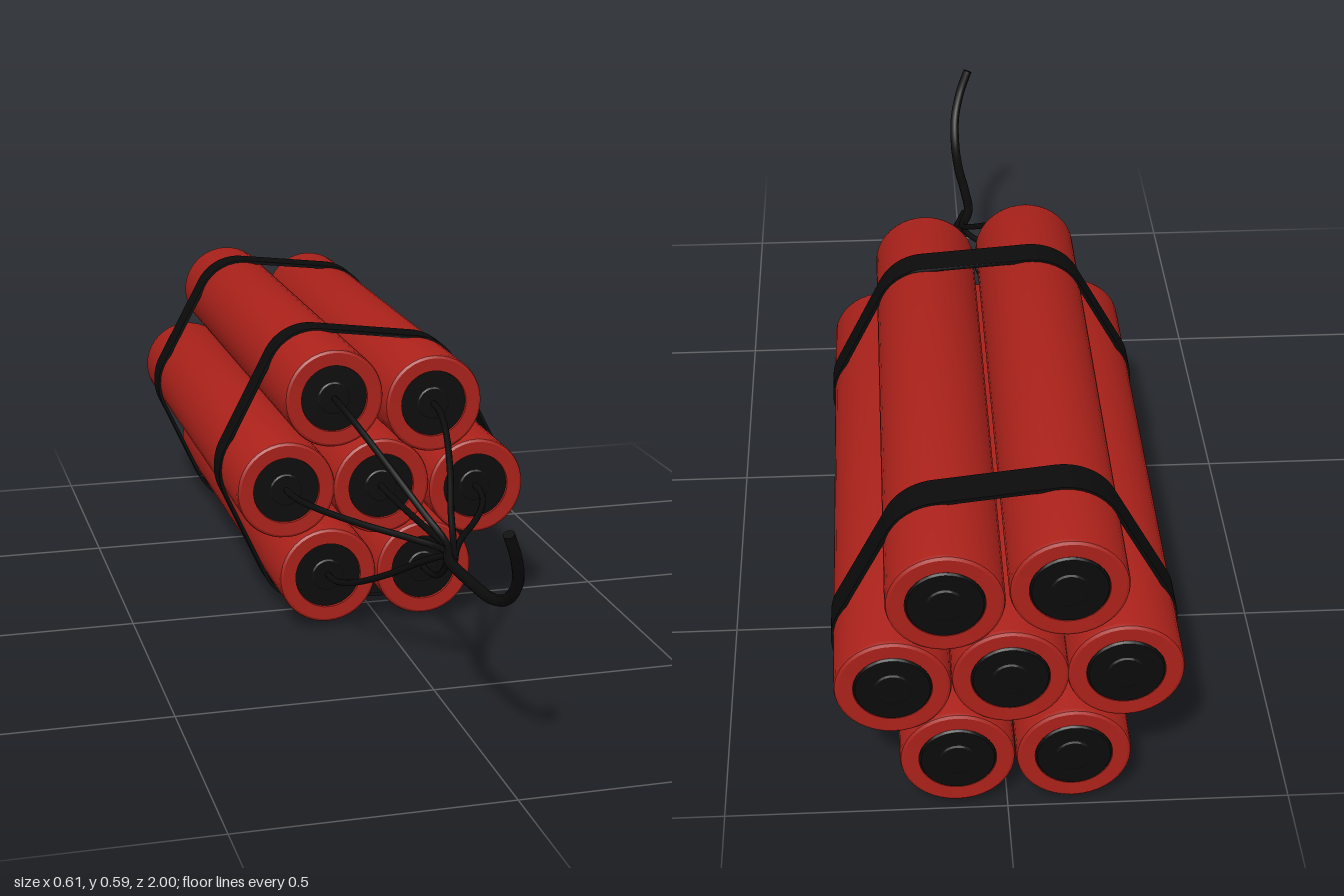
import * as THREE from 'three';
import { toCreasedNormals } from 'three/addons/utils/BufferGeometryUtils.js';

const red = new THREE.MeshStandardMaterial({ color: 0xaa211a });
const black = new THREE.MeshStandardMaterial({ color: 0x0b0b0b });

// Stick axes in the x/y plane
const CENTRES = [
  [-0.1, 0.487], [0.107, 0.463], [-0.2, 0.303], [-0.003, 0.297],
  [0.198, 0.282], [-0.115, 0.115], [0.088, 0.115],
];
const RADIUS = 0.101, FRONT = 0.128, BACK = -0.996;

function part(parent, name, geometry, material) {
  const mesh = new THREE.Mesh(geometry, material);
  mesh.name = name;
  parent.add(mesh);
  return mesh;
}

// Lathe around the z axis from [radius, z] pairs
function latheZ(pairs) {
  const g = new THREE.LatheGeometry(pairs.map(([r, z]) => new THREE.Vector2(r, z)), 40);
  return toCreasedNormals(g.rotateX(Math.PI / 2), 0.5);
}

// Outline stretched round all the sticks, found from the farthest stick in each direction
function hullPoints(offset) {
  const points = [];
  for (let i = 0; i < 120; i++) {
    const a = (i / 120) * Math.PI * 2, c = Math.cos(a), s = Math.sin(a);
    const [x, y] = CENTRES.reduce((b, p) => (p[0] * c + p[1] * s > b[0] * c + b[1] * s ? p : b));
    const sag = 0.009 * Math.max(0, -s); // slightly slack underneath
    const r = RADIUS + offset + sag;
    points.push(new THREE.Vector2(x + c * r, y + s * r));
  }
  return points;
}

function bandGeometry(zCentre, width, wobble) {
  const shape = new THREE.Shape(hullPoints(0.004));
  shape.holes.push(new THREE.Path(hullPoints(-0.003)));
  const g = new THREE.ExtrudeGeometry(shape, { depth: width, bevelEnabled: false });
  g.translate(0, 0, zCentre - width / 2);
  // Hand-wrapped unevenness
  const p = g.attributes.position;
  for (let i = 0; i < p.count; i++) {
    const x = p.getX(i), y = p.getY(i);
    p.setZ(i, p.getZ(i) + wobble * (Math.cos(x * 11 - 1.6) - 0.4 + (0.3 - y) * 0.8));
  }
  return toCreasedNormals(g, 0.6);
}

function cord(parent, name, points, radius, segments) {
  const curve = new THREE.CatmullRomCurve3(points.map((p) => new THREE.Vector3(...p)));
  part(parent, name, new THREE.TubeGeometry(curve, segments, radius, 10), black);
  // Closed far end
  const end = part(parent, name + 'End', new THREE.CircleGeometry(radius, 10), black);
  end.position.copy(curve.getPoint(1));
  end.quaternion.setFromUnitVectors(new THREE.Vector3(0, 0, 1), curve.getTangent(1));
}

export function createModel() {
  const model = new THREE.Group();
  model.name = 'stickBundle';

  // Paper tubes with softened rims and shallow recessed ends
  const tube = latheZ([
    [0.067, BACK + 0.008], [0.068, BACK + 0.001], [0.094, BACK], [0.099, BACK + 0.003], [RADIUS, BACK + 0.009],
    [RADIUS, FRONT - 0.009], [0.099, FRONT - 0.003], [0.094, FRONT], [0.068, FRONT - 0.001], [0.067, FRONT - 0.01],
  ]);
  // Dark filling, reaching just past the rear rim
  const plug = latheZ([
    [0, -1], [0.03, -1], [0.033, -0.998], [0.064, -0.998], [0.067, -0.994],
    [0.067, FRONT - 0.006], [0.033, FRONT - 0.006], [0.03, FRONT - 0.004], [0, FRONT - 0.004],
  ]);

  CENTRES.forEach(([x, y], i) => {
    const stick = new THREE.Group();
    stick.name = 'stick' + (i + 1);
    stick.position.set(x, y, 0);
    part(stick, 'tube', tube, red);
    part(stick, 'plug', plug, black);
    model.add(stick);

    // Thin fuse leaving the stick straight, then drawn in to the junction
    const mix = (t, z) => [x + (0.02 - x) * t, y + (0.294 - y) * t, z];
    cord(model, 'fuse' + (i + 1), [
      mix(0, 0.11), mix(0.02, 0.17), mix(0.14, 0.25), mix(0.42, 0.36),
      mix(0.74, 0.46), mix(0.93, 0.53), [0 + x * 0.02, 0.297, 0.61],
    ], 0.0065, 28);
  });

  // Main fuse, curling up at its tip
  cord(model, 'mainFuse', [
    [0.012, 0.296, 0.55], [-0.006, 0.299, 0.61], [-0.002, 0.297, 0.72], [0.007, 0.299, 0.82],
    [0.012, 0.323, 0.89], [0.01, 0.372, 0.945], [-0.004, 0.425, 0.976], [-0.023, 0.474, 0.991],
  ], 0.0105, 48);

  // Tape bands
  part(model, 'frontBand', bandGeometry(-0.065, 0.062, 0.008), black);
  part(model, 'rearBand', bandGeometry(-0.822, 0.066, 0), black);

  return model;
}
